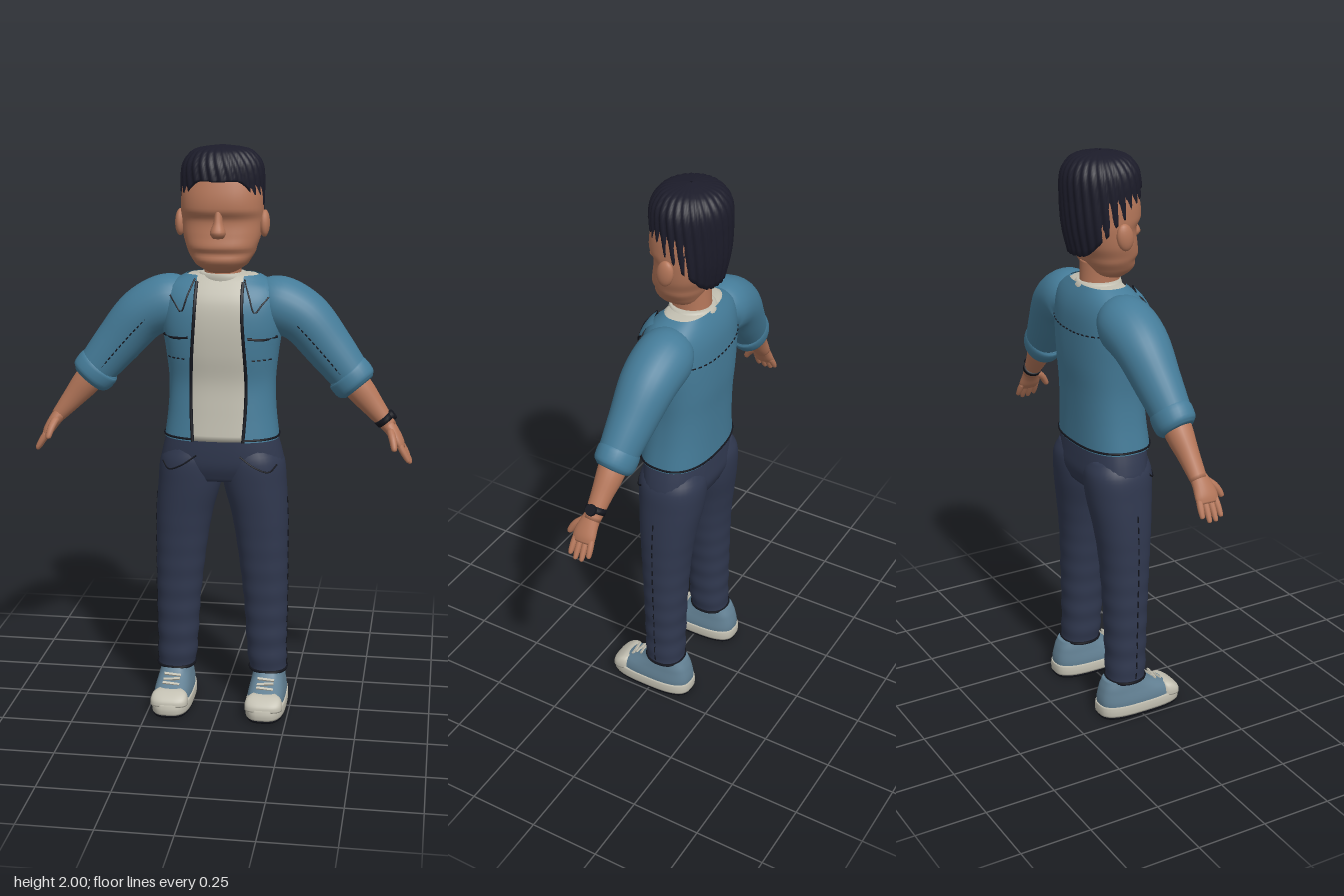
import * as THREE from 'three';

const mat = (name, color, side = THREE.FrontSide) => {
  const m = new THREE.MeshStandardMaterial({ color, side });
  m.name = name;
  return m;
};
const V = (x, y, z) => new THREE.Vector3(x, y, z);

// Smooth interpolation of rows keyed by their first number
function sample(rows, k) {
  const n = rows.length;
  let i = 0;
  while (i < n - 2 && k > rows[i + 1][0]) i++;
  const a = rows[i], b = rows[i + 1], p = rows[Math.max(0, i - 1)], q = rows[Math.min(n - 1, i + 2)];
  const h = b[0] - a[0], t = (k - a[0]) / h;
  return a.map((_, c) => {
    const m0 = (b[c] - p[c]) / (b[0] - p[0]) * h, m1 = (q[c] - a[c]) / (q[0] - a[0]) * h;
    return a[c] * (1 + 2 * t) * (1 - t) ** 2 + m0 * t * (1 - t) ** 2 + b[c] * t * t * (3 - 2 * t) + m1 * t * t * (t - 1);
  });
}

// Surface from f(u, v): u runs round the part, v along it
function grid(f, nu, nv, wrap = true, cap = true) {
  const cols = wrap ? nu : nu + 1, rings = [], pos = [], idx = [];
  for (let i = 0; i <= nv; i++) rings.push(Array.from({ length: cols }, (_, j) => f(j / nu, i / nv)));
  if (cap) {
    const closed = (r) => {
      const c = r.reduce((s, p) => s.add(p), V(0, 0, 0)).divideScalar(r.length);
      return r.map(() => c);
    };
    rings.unshift(closed(rings[0]));
    rings.push(closed(rings[rings.length - 1]));
  }
  rings.flat().forEach((p) => pos.push(p.x, p.y, p.z));
  for (let i = 0; i < rings.length - 1; i++) for (let j = 0; j < nu; j++) {
    const a = i * cols + j, b = i * cols + (j + 1) % cols;
    idx.push(a, b, b + cols, a, b + cols, a + cols);
  }
  const g = new THREE.BufferGeometry();
  g.setAttribute('position', new THREE.Float32BufferAttribute(pos, 3));
  g.setIndex(idx);
  g.computeVertexNormals();
  return g;
}

// Horizontal cross-section point; row = [y, rx, zFront, zBack, cx]
const pw = (c, p) => Math.sign(c) * Math.abs(c) ** (2 / p);
function onRing([y, rx, zf, zb, cx = 0], a, p, off = 0) {
  return V(cx + (rx + off) * pw(Math.sin(a), p), y, (zf + zb) / 2 + ((zf - zb) / 2 + off) * pw(Math.cos(a), p));
}
const loft = (rows, p = 2, nv = 24, nu = 36, off = 0) => {
  const y0 = rows[0][0], y1 = rows[rows.length - 1][0];
  return grid((u, v) => onRing(sample(rows, y0 + (y1 - y0) * v), u * Math.PI * 2, p, off), nu, nv);
};

// Limb along a path; row = [x, y, z, radius across, radius along z]
function sweep(rows, nv = 20, nu = 20) {
  const keyed = rows.map((r, i) => [i, ...r]), last = rows.length - 1;
  const at = (k) => sample(keyed, k);
  return grid((u, v) => {
    const k = v * last, r = at(k), lo = at(Math.max(0, k - 0.05)), hi = at(Math.min(last, k + 0.05));
    const T = V(hi[1] - lo[1], hi[2] - lo[2], hi[3] - lo[3]).normalize();
    const N = V(0, 0, 1).cross(T).normalize(), B = T.clone().cross(N), a = u * Math.PI * 2;
    return V(r[1], r[2], r[3]).addScaledVector(N, Math.cos(a) * r[4]).addScaledVector(B, Math.sin(a) * r[5]);
  }, nu, nv);
}

const TORSO = [[1, 0.2, 0.1, -0.15], [1.1, 0.188, 0.088, -0.15], [1.2, 0.185, 0.08, -0.153], [1.3, 0.195, 0.092, -0.16],
  [1.4, 0.208, 0.095, -0.16], [1.48, 0.205, 0.083, -0.155], [1.53, 0.185, 0.055, -0.14], [1.565, 0.125, 0.025, -0.12]];
const HIPS = [[0.85, 0.19, 0.06, -0.13], [0.9, 0.216, 0.08, -0.148], [0.95, 0.21, 0.085, -0.145], [1.02, 0.19, 0.085, -0.135]];
const P = 2.5;
// Point on the front (dir 1) or back (dir -1) of a lofted body
function skinPoint(rows, x, y, dir = 1, off = 0.003) {
  const [, rx, zf, zb] = sample(rows, y);
  const d = Math.max(0, 1 - Math.abs(x / rx) ** P) ** (1 / P);
  return V(x, y, (zf + zb) / 2 + dir * ((zf - zb) / 2 * d + off));
}

export function createModel() {
  const root = new THREE.Group();
  const skin = mat('skin', 0xb5775a), hair = mat('hair', 0x1c1c2a, THREE.DoubleSide);
  const denim = mat('jacket blue', 0x457c99, THREE.DoubleSide), pants = mat('trouser navy', 0x30384f);
  const cream = mat('cream', 0xc2bfb1), shoe = mat('shoe grey blue', 0x628093), dark = mat('dark line', 0x14161e);
  const add = (name, geo, m) => {
    const mesh = new THREE.Mesh(geo, m);
    mesh.name = name;
    root.add(mesh);
    return mesh;
  };
  const stroke = (name, pts, r = 0.003) => {
    const curve = new THREE.CatmullRomCurve3(pts);
    add(name, new THREE.TubeGeometry(curve, pts.length * 4, r, 5), dark);
  };
  const dashes = (name, a, b, n, place) => {
    for (let i = 0; i < n; i++) {
      const k = (t) => place(a + (b - a) * (i + t) / n);
      stroke(name, [k(0), k(0.3), k(0.6)], 0.0025);
    }
  };

  // Head, face and ears
  add('head', loft([[1.575, 0.045, 0.03, -0.06], [1.6, 0.085, 0.06, -0.085], [1.62, 0.1, 0.073, -0.095], [1.645, 0.115, 0.069, -0.105],
    [1.662, 0.12, 0.08, -0.11], [1.7, 0.132, 0.073, -0.125], [1.755, 0.138, 0.067, -0.135], [1.79, 0.14, 0.085, -0.14],
    [1.86, 0.137, 0.078, -0.145], [1.93, 0.115, 0.05, -0.125], [1.97, 0.06, 0, -0.09]], 2.3, 48), skin);
  add('nose', loft([[1.698, 0.018, 0.095, 0.05], [1.715, 0.027, 0.114, 0.05], [1.75, 0.016, 0.098, 0.05], [1.795, 0.012, 0.082, 0.04]], 2, 12, 16), skin);
  add('neck', loft([[1.5, 0.07, 0.03, -0.115], [1.56, 0.064, 0.03, -0.11], [1.64, 0.066, 0.02, -0.105]]), skin);
  for (const s of [1, -1]) {
    const ear = add('ear', new THREE.SphereGeometry(1, 16, 12), skin);
    ear.scale.set(0.018, 0.046, 0.03);
    ear.position.set(s * 0.144, 1.74, -0.026);
    ear.rotation.x = -0.15;
  }

  // Ridged hair with a high front hairline and a low nape
  const HAIR = [[1.66, 0.8], [1.75, 0.95], [1.85, 1], [1.93, 0.97], [1.97, 0.8], [1.99, 0.55], [2, 0.03]];
  const hairline = [[0, 1.885], [0.6, 1.88], [1.1, 1.81], [1.55, 1.79], [2, 1.73], [2.5, 1.675], [3.15, 1.665]];
  add('hair', grid((u, v) => {
    const a = u * Math.PI * 2, low = sample(hairline, Math.min(a, Math.PI * 2 - a))[1];
    const w = Math.max(0, (v - 0.08) / 0.92), y = low + (2 - low) * (1 - (1 - w) ** 1.5);
    const ridge = 0.95 + 0.06 * Math.abs(Math.sin(a * 14 + w * 4));
    const s = sample(HAIR, y)[1] * ridge * (v < 0.05 ? 0.88 : 1);
    return V(0.142 * s * Math.sin(a), y, -0.038 + 0.133 * s * Math.cos(a));
  }, 168, 25, true, false), hair);

  // Shirt under an open jacket
  add('shirt', loft(TORSO, P, 30, 48, -0.01), cream);
  add('shirtCollar', loft([[1.54, 0.092, 0.03, -0.13], [1.56, 0.086, 0.032, -0.125], [1.572, 0.074, 0.03, -0.115]], 2, 6), cream);
  const edge = (y) => 0.087 + 0.008 * Math.sin((y - 1) * 9);
  add('jacketBody', grid((u, v) => {
    const row = sample(TORSO, 1 + 0.565 * v);
    const a0 = Math.asin(Math.min(1, edge(row[0]) / row[1]) ** (P / 2));
    return onRing(row, a0 + u * (Math.PI * 2 - 2 * a0), P);
  }, 60, 30, false, false), denim);
  stroke('jacketHem', Array.from({ length: 33 }, (_, i) => {
    const a = 0.36 + i / 32 * (Math.PI * 2 - 0.72);
    return onRing(sample(TORSO, 1.008), a, P, 0.001);
  }), 0.004);
  dashes('yokeStitch', -0.19, 0.19, 16, (x) => skinPoint(TORSO, x, 1.41 + 0.4 * x * x, -1, 0.001));

  // Surface patch between four corners on the jacket front
  const patch = (c, off) => grid((u, v) => {
    const mix = (k) => (c[0][k] * (1 - u) + c[1][k] * u) * (1 - v) + (c[3][k] * (1 - u) + c[2][k] * u) * v;
    return skinPoint(TORSO, mix(0), mix(1), 1, off);
  }, 8, 8, false, false);

  for (const s of [1, -1]) {
    const front = (x, y, off) => skinPoint(TORSO, s * x, y, 1, off);
    const collar = [[s * 0.085, 1.556], [s * 0.125, 1.45], [s * 0.168, 1.5], [s * 0.15, 1.545]];
    add('collarFlap', patch(collar, 0.014), denim);
    stroke('collarEdge', [front(0.085, 1.556, 0.014), front(0.105, 1.503, 0.014), front(0.125, 1.45, 0.014), front(0.147, 1.475, 0.014), front(0.168, 1.5, 0.014)]);
    stroke('jacketEdge', Array.from({ length: 14 }, (_, i) => front(edge(1 + i * 0.042), 1 + i * 0.042, 0)), 0.006);
    add('pocketFlap', patch([[s * 0.1, 1.335], [s * 0.19, 1.335], [s * 0.19, 1.365], [s * 0.1, 1.365]], 0.004), denim);
    stroke('pocketLine', [front(0.1, 1.362), front(0.15, 1.357), front(0.195, 1.362)], 0.005);
    dashes('pocketStitch', 0.115, 0.185, 4, (x) => front(x, 1.285));

    // Sleeve, cuff and forearm
    const S = (rows) => rows.map(([x, ...r]) => [s * x, ...r]);
    add('sleeve', sweep(S([[0.13, 1.46, -0.05, 0.07, 0.075], [0.185, 1.462, -0.05, 0.098, 0.098], [0.28, 1.417, -0.045, 0.093, 0.095],
      [0.37, 1.315, -0.035, 0.083, 0.078], [0.46, 1.205, -0.022, 0.068, 0.062]]), 28, 28), denim);
    add('cuff', sweep(S([[0.425, 1.242, -0.025, 0.068, 0.06], [0.436, 1.23, -0.025, 0.079, 0.069], [0.462, 1.198, -0.022, 0.077, 0.067], [0.474, 1.184, -0.02, 0.06, 0.052]]), 10, 28), denim);
    dashes('sleeveStitch', 0, 1, 14, (t) => V(s * (0.24 + 0.18 * t), 1.43 - 0.18 * t - 0.02 * t * t, 0.046 - 0.01 * t * t));
    add('forearm', sweep(S([[0.43, 1.235, -0.02, 0.05, 0.048], [0.48, 1.175, -0.02, 0.049, 0.046], [0.53, 1.115, -0.015, 0.038, 0.036], [0.585, 1.05, -0.01, 0.025, 0.029]])), skin);

    // Hand with four fingers and a thumb
    add('palm', sweep(S([[0.575, 1.062, -0.01, 0.025, 0.029], [0.597, 1.032, -0.003, 0.022, 0.036], [0.615, 1.003, 0, 0.019, 0.041], [0.626, 0.982, 0, 0.013, 0.038]]), 12), skin);
    [-0.032, -0.011, 0.011, 0.032].forEach((z, i) => {
      const k = [0.78, 1, 1, 0.86][i];
      add('finger', sweep(S([[0.618, 0.997, z * 0.9, 0.011, 0.011], [0.618 + 0.02 * k, 0.997 - 0.033 * k, z, 0.011, 0.0105],
        [0.618 + 0.037 * k, 0.997 - 0.062 * k, z * 1.05, 0.008, 0.008], [0.618 + 0.04 * k, 0.997 - 0.068 * k, z * 1.05, 0.003, 0.003]]), 10, 10), skin);
    });
    add('thumb', sweep(S([[0.586, 1.045, 0.015, 0.014, 0.014], [0.596, 1.02, 0.045, 0.013, 0.013], [0.603, 0.99, 0.064, 0.01, 0.01], [0.604, 0.983, 0.067, 0.003, 0.003]]), 10, 10), skin);

    // Trouser leg with soft folds; rows are [y, rx, zf, zb, cx]
    const LEG = [[0.13, 0.067, 0.035, -0.105, 0.168], [0.2, 0.07, 0.04, -0.103, 0.163], [0.4, 0.078, 0.047, -0.106, 0.157],
      [0.6, 0.09, 0.06, -0.115, 0.145], [0.72, 0.1, 0.07, -0.13, 0.134], [0.83, 0.111, 0.08, -0.147, 0.116], [0.92, 0.109, 0.083, -0.15, 0.108], [0.97, 0.09, 0.07, -0.13, 0.1]];
    const legRow = (y) => {
      const r = sample(LEG, y), fold = 0.0025 * Math.sin(y * 75) * Math.max(0, 1 - y / 0.75);
      return [y, r[1] + fold, r[2] + fold, r[3] - fold, s * r[4]];
    };
    add('trouserLeg', grid((u, v) => onRing(legRow(0.13 + 0.84 * v), u * Math.PI * 2, 2.2), 36, 64), pants);
    stroke('trouserHem', Array.from({ length: 25 }, (_, i) => onRing(legRow(0.138), i / 24 * Math.PI * 2, 2.2, 0.001)), 0.005);
    dashes('sideSeam', 0.15, 0.8, 16, (y) => onRing(legRow(y), s * 1.5, 2.2, 0.001));
    stroke('trouserPocket', [[0.2, 0.915], [0.175, 0.893], [0.13, 0.91], [0.075, 0.948]].map(([x, y]) => {
      const p = skinPoint(HIPS, s * x, y, 1, 0.002), r = legRow(y), d = Math.min(1, Math.abs((s * x - r[4]) / r[1]));
      p.z = Math.max(p.z, (r[2] + r[3]) / 2 + (r[2] - r[3]) / 2 * (1 - d ** 2.2) ** (1 / 2.2) + 0.002);
      return p;
    }));

    // Shoe: tread, sole, upper, toe cap and laces
    const cx = s * 0.169;
    const shoeRows = (rows) => rows.map((r) => [...r, cx]);
    add('tread', loft(shoeRows([[0, 0.068, 0.17, -0.142], [0.012, 0.07, 0.173, -0.144]]), 3, 2), dark);
    add('sole', loft(shoeRows([[0.01, 0.071, 0.174, -0.145], [0.03, 0.072, 0.176, -0.146], [0.048, 0.07, 0.172, -0.144]]), 3, 6), cream);
    add('shoeUpper', loft(shoeRows([[0.04, 0.067, 0.165, -0.141], [0.06, 0.067, 0.155, -0.142], [0.078, 0.064, 0.135, -0.14], [0.095, 0.06, 0.1, -0.136],
      [0.115, 0.056, 0.06, -0.13], [0.14, 0.05, 0.035, -0.118]]), 2.8, 16), shoe);
    add('toeCap', loft(shoeRows([[0.04, 0.067, 0.171, 0.088], [0.06, 0.066, 0.166, 0.09], [0.078, 0.058, 0.145, 0.096], [0.088, 0.042, 0.125, 0.1]]), 2.8, 10), cream);
    for (let i = 0; i < 3; i++) {
      const lace = add('lace', new THREE.BoxGeometry(0.06, 0.006, 0.009), cream);
      lace.position.set(cx, 0.1 + i * 0.01, 0.094 - i * 0.018);
      lace.rotation.set(0.5, 0, (i % 2 ? 1 : -1) * 0.12);
    }
  }
  add('hips', loft(HIPS, P, 14), pants);

  // Wristwatch on the left arm
  add('watchStrap', sweep([[0.556, 1.085, -0.012, 0.034, 0.036], [0.57, 1.068, -0.012, 0.032, 0.035]], 2, 24), dark);
  const face = add('watchFace', new THREE.CylinderGeometry(0.018, 0.02, 0.01, 20), dark);
  face.position.set(0.592, 1.095, -0.012);
  face.rotation.z = -0.88;
  return root;
}
